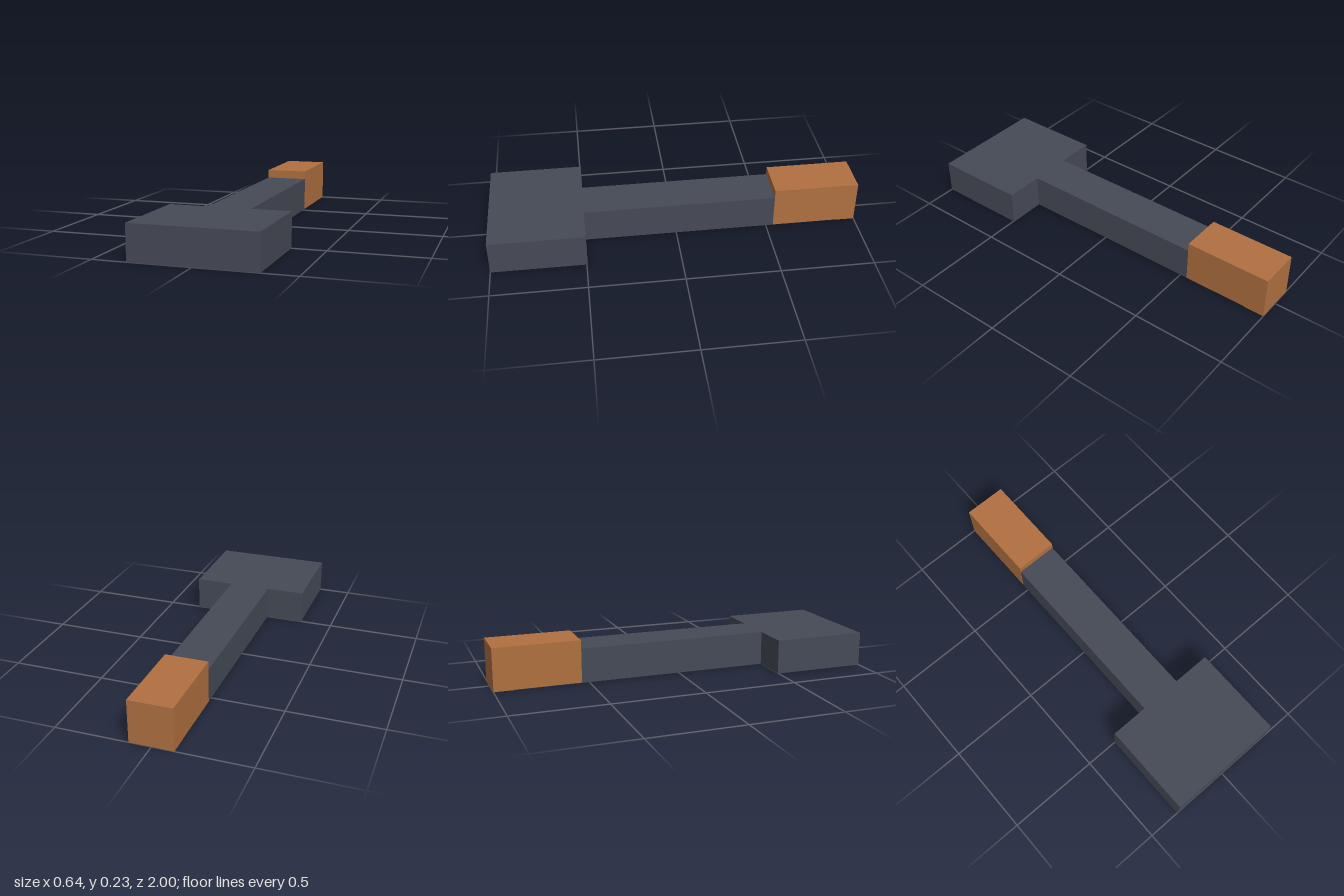
import * as THREE from 'three';

export function createModel() {
  const model = new THREE.Group();
  model.name = 'mallet';
  const slate = new THREE.MeshStandardMaterial({ color: 0x464a56 });
  slate.name = 'slate';
  const copper = new THREE.MeshStandardMaterial({ color: 0xb07040 });
  copper.name = 'copper brown';

  const add = (name, geometry, material) => {
    const mesh = new THREE.Mesh(geometry, material);
    mesh.name = name;
    model.add(mesh);
  };
  // Box standing on the ground between two z positions
  const block = (width, height, z0, z1) =>
    new THREE.BoxGeometry(width, height, z1 - z0).translate(0, height / 2, (z0 + z1) / 2);

  // Wide head at the front and the long shaft behind it
  add('head', block(0.644, 0.184, 0.495, 1), slate);
  add('shaft', block(0.228, 0.184, -0.89, 0.495), slate);

  // Grip: side profile (z, y) wrapped a hair outside the shaft, its underside stepped up to clear it
  const profile = new THREE.Shape([
    [-1, 0], [-0.89, 0], [-0.89, 0.002], [-0.54, 0.002], [-0.54, 0.23], [-1, 0.23],
  ].map(([z, y]) => new THREE.Vector2(z, y)));
  const gripWidth = 0.23;
  const grip = new THREE.ExtrudeGeometry(profile, { depth: gripWidth, bevelEnabled: false })
    .translate(0, 0, -gripWidth / 2)
    .rotateY(-Math.PI / 2);
  add('grip', grip, copper);

  return model;
}
